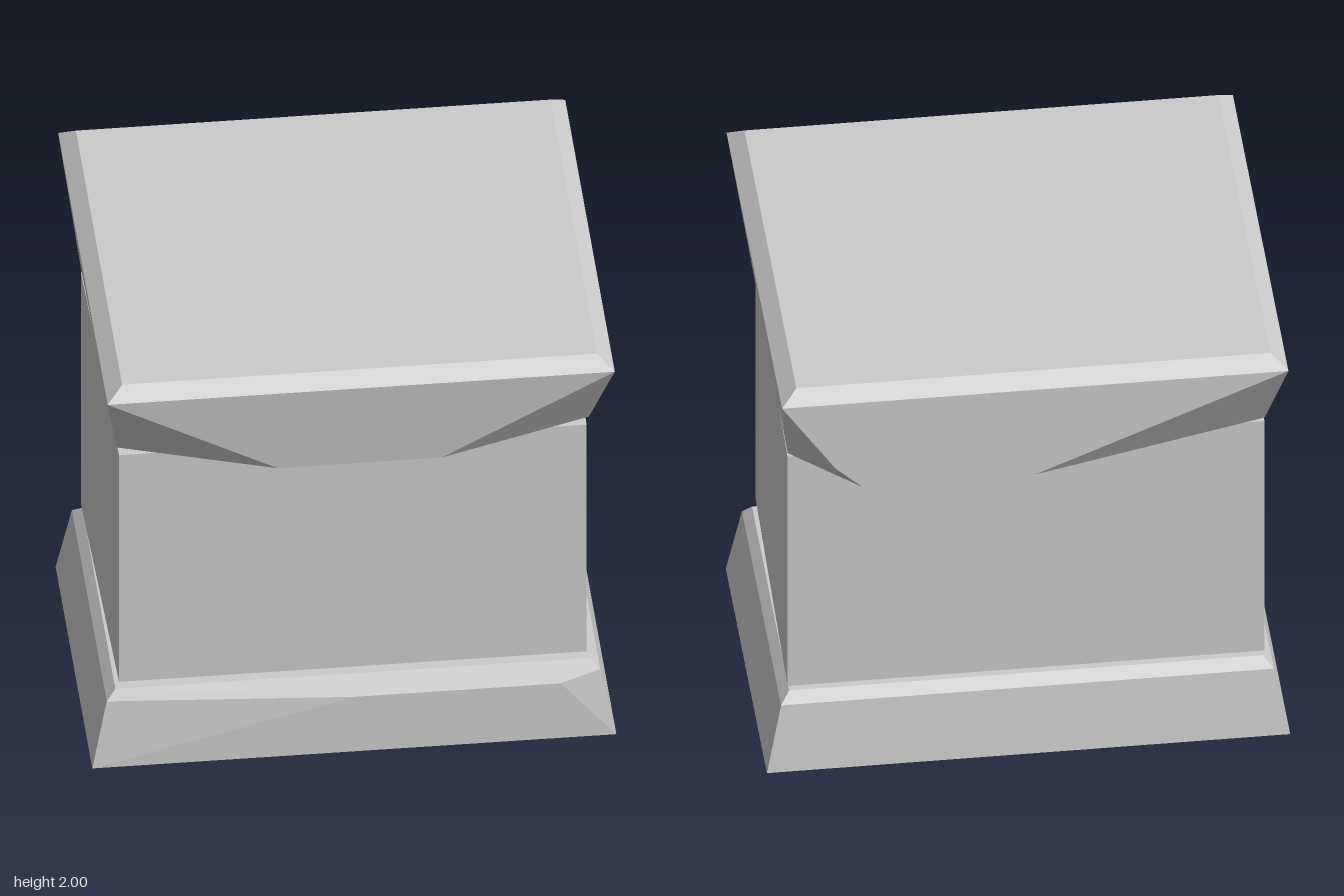
import * as THREE from 'three';
import { ConvexGeometry } from 'three/addons/geometries/ConvexGeometry.js';

const material = new THREE.MeshStandardMaterial({ color: 0xcccccc, flatShading: true });

// Four corners of a level: half width at front and back, z of front and back
const level = (yFront, yBack, xFront, xBack, zFront, zBack) => [
  [-xFront, yFront, zFront], [xFront, yFront, zFront],
  [-xBack, yBack, zBack], [xBack, yBack, zBack],
];

// A roughly hewn block: the convex hull of its levels and chipped corners
function hewnBlock(name, ...points) {
  const corners = points.flat().map((p) => new THREE.Vector3(...p));
  const mesh = new THREE.Mesh(new ConvexGeometry(corners), material);
  mesh.name = name;
  return mesh;
}

export function createModel() {
  const group = new THREE.Group();
  group.name = 'stonePedestal';

  // Foot slab: bevelled top, chipped front edge, uneven underside
  group.add(hewnBlock('footSlab',
    level(0.5, 0.5, 0.84, 0.84, 0.53, -0.54),
    level(0.465, 0.465, 0.873, 0.873, 0.553, -0.577),
    level(0.195, 0.195, 0.927, 0.927, 0.58, -0.61),
    [[0, 0.432, 0.577], [0.73, 0.432, 0.577]],
    [[0.39, 0, 0.2], [0.39, 0, -0.11], [0.63, 0.03, 0.2], [0.63, 0.03, -0.11]],
  ));

  // Middle block, slightly wider and taller towards the back
  group.add(hewnBlock('middleBlock',
    level(1.525, 1.535, 0.827, 0.845, 0.53, -0.537),
    level(0.53, 0.518, 0.827, 0.845, 0.53, -0.537),
  ));

  // Cap: bevelled rim, tapering below, with overhanging front and back
  group.add(hewnBlock('capStone',
    level(2, 2, 0.84, 0.84, 0.75, -0.75),
    level(1.955, 1.955, 0.897, 0.897, 0.803, -0.803),
    level(1.56, 1.553, 0.835, 0.845, 0.53, -0.54),
    [[-0.29, 1.592, 0.755], [0.29, 1.592, 0.755]],
    [[0, 1.58, -0.803], [0.61, 1.58, -0.803], [0.706, 1.67, -0.803]],
  ));

  return group;
}
